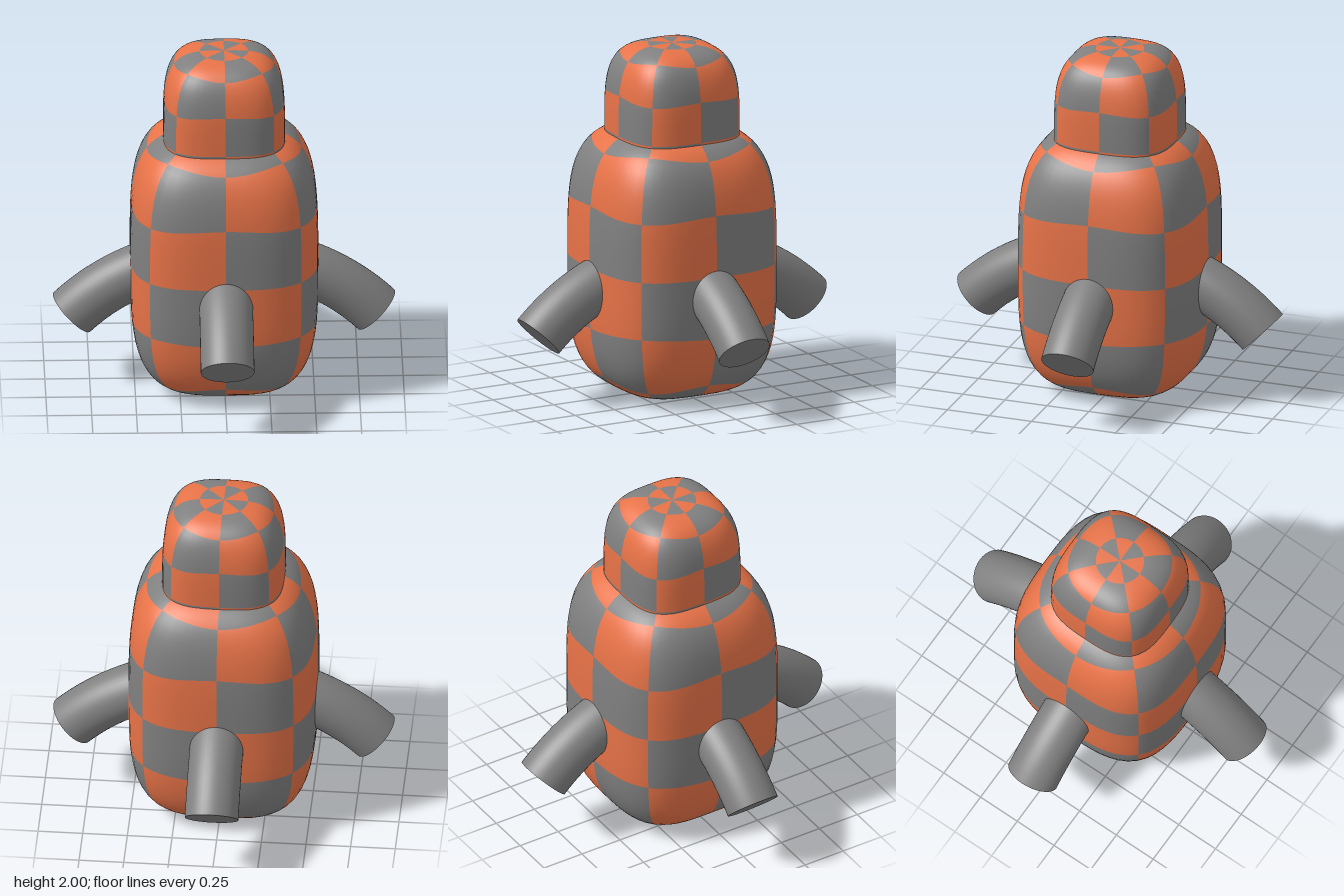
import * as THREE from 'three';

const gray = new THREE.MeshStandardMaterial({ color: 0x808080 });
gray.name = 'gray';
const coral = new THREE.MeshStandardMaterial({ color: 0xff7f50 });
coral.name = 'coral';

const CELLS = 8; // checker columns around, and rows from pole to pole
const SUB = 8; // grid steps per checker cell
const N = CELLS * SUB;
const DEG = Math.PI / 180;

// Point of a rounded unit block for longitude u and latitude v
function blockPoint(u, v) {
  const bow = Math.max(0, Math.sin(4 * Math.abs(v))) * Math.cos(4 * u) * 2;
  const e = v + DEG * (Math.sin(2 * v) + Math.sign(v) * bow);
  const p = new THREE.Vector3(Math.cos(e) * Math.cos(u), Math.sin(e), Math.cos(e) * Math.sin(u));
  const h = (Math.abs(p.x) ** 3.2 + Math.abs(p.z) ** 3.2) ** (1 / 3.2);
  const size = (h ** 3.8 + Math.abs(p.y) ** 3.8) ** (1 / 3.8);
  return p.divideScalar(size);
}

// Rounded block with a checkerboard of two materials
function checkeredBlock(name, halfWidth, halfHeight, centerY) {
  const pos = [0, -halfHeight, 0, 0, halfHeight, 0];
  for (let j = 1; j < N; j++) {
    for (let i = 0; i < N; i++) {
      const p = blockPoint((i / N) * 2 * Math.PI, (j / N - 0.5) * Math.PI);
      pos.push(p.x * halfWidth, p.y * halfHeight, p.z * halfWidth);
    }
  }
  const id = (i, j) => (j === 0 ? 0 : j === N ? 1 : 2 + (j - 1) * N + (i % N));
  const faces = [[], []];
  for (let j = 0; j < N; j++) {
    for (let i = 0; i < N; i++) {
      const list = faces[(Math.floor(i / SUB) + Math.floor(j / SUB)) % 2];
      const a = id(i, j), b = id(i + 1, j), c = id(i + 1, j + 1), d = id(i, j + 1);
      if (j < N - 1) list.push(a, d, c);
      if (j > 0) list.push(a, c, b);
      if (j === N - 1) continue;
    }
  }
  const geo = new THREE.BufferGeometry();
  geo.setAttribute('position', new THREE.Float32BufferAttribute(pos, 3));
  geo.setIndex([...faces[0], ...faces[1]]);
  geo.addGroup(0, faces[0].length, 0);
  geo.addGroup(faces[0].length, faces[1].length, 1);
  geo.computeVertexNormals();
  const mesh = new THREE.Mesh(geo, [coral, gray]);
  mesh.name = name;
  mesh.position.y = centerY;
  return mesh;
}

// Drooping limb: an arc of tube with a flat end
function makeLimb(name) {
  const limb = new THREE.Group();
  limb.name = name;
  const radius = 1.2, thick = 0.15, dropY = -0.44;
  const tube = new THREE.Mesh(
    new THREE.TorusGeometry(radius, thick, 40, 24, 35 * DEG).rotateZ(45 * DEG).translate(0, dropY, 0), gray);
  tube.name = 'limbTube';
  const k = radius * Math.SQRT1_2;
  const cap = new THREE.Mesh(
    new THREE.CircleGeometry(thick, 40).rotateY(90 * DEG).rotateZ(-45 * DEG).translate(k, k + dropY, 0), gray);
  cap.name = 'limbEnd';
  limb.add(tube, cap);
  return limb;
}

export function createModel() {
  const model = new THREE.Group();
  model.name = 'checkeredFigure';
  model.add(checkeredBlock('body', 0.525, 0.765, 0.765));
  model.add(checkeredBlock('head', 0.34, 0.5, 1.5));

  // Four limbs, one on each side
  ['leftLimb', 'backLimb', 'rightLimb', 'frontLimb'].forEach((name, i) => {
    const limb = makeLimb(name);
    limb.rotation.y = i * 90 * DEG;
    model.add(limb);
  });
  return model;
}
